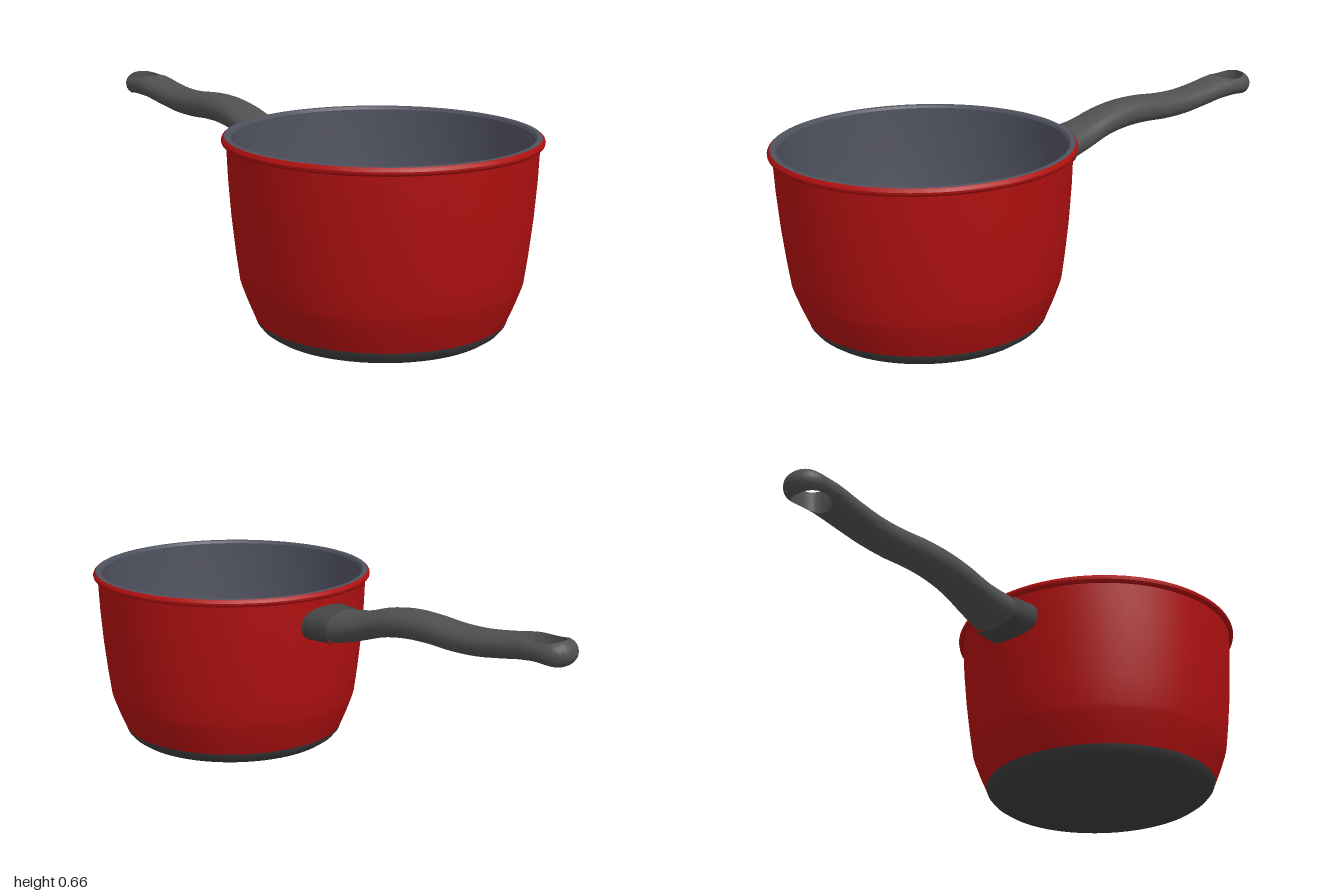
import * as THREE from 'three';
import { toCreasedNormals } from 'three/addons/utils/BufferGeometryUtils.js';

const POT_Z = 0.485;          // pot axis
const HANDLE_ANGLE = 0.258;   // handle swings towards -x

const mat = (color) => new THREE.MeshStandardMaterial({ color });

function part(name, geometry, material, crease = 0.5) {
  const mesh = new THREE.Mesh(toCreasedNormals(geometry, crease), material);
  mesh.name = name;
  return mesh;
}

function lathe(name, profile, material, crease) {
  const points = profile.map(([r, y]) => new THREE.Vector2(r, y));
  return part(name, new THREE.LatheGeometry(points, 72), material, crease);
}

// Rounded bar along -z made of two mirrored halves.
// section(t) gives centre height cy, half height b, half width w, and half
// width h of a slot through the bar; p < 1 makes the section boxier.
function loft(rows, section, p, along = (t) => t, n = 16) {
  const pos = [];
  for (const side of [1, -1]) {
    const rings = rows.map((t) => {
      const { cy, b, w, h } = section(t);
      const a = h > 0 ? Math.asin(Math.min(1, (h / w) ** (1 / p))) : 0;
      const ring = [];
      for (let j = 0; j <= n; j++) {
        const phi = a + (Math.PI - 2 * a) * j / n;
        const c = Math.cos(phi);
        const u = w * Math.max(0, Math.sin(phi)) ** p;
        const v = b * Math.sign(c) * Math.abs(c) ** p;
        ring.push([side * u, cy + v, -along(t, u)]);
      }
      return { ring, open: h > 0 };
    });
    for (let i = 0; i < rings.length - 1; i++) {
      const A = rings[i], B = rings[i + 1];
      // the extra column is the inner wall of the slot
      const columns = A.open || B.open ? n + 1 : n;
      for (let j = 0; j < columns; j++) {
        const k = (j + 1) % (n + 1);
        const [q, r, s, t] = [A.ring[j], A.ring[k], B.ring[k], B.ring[j]];
        const tris = side > 0 ? [q, r, s, q, s, t] : [q, s, r, q, t, s];
        for (const v of tris) pos.push(...v);
      }
    }
  }
  const geo = new THREE.BufferGeometry();
  geo.setAttribute('position', new THREE.Float32BufferAttribute(pos, 3));
  return geo;
}

function createPot() {
  const pot = new THREE.Group();
  pot.name = 'pot';
  const red = mat(0xb01010), lining = mat(0x50525f), baseGrey = mat(0x3c3c3c);

  pot.add(lathe('base',
    [[0, 0.003], [0.345, 0.003], [0.37, 0.008], [0.392, 0.023], [0.406, 0.04], [0.41, 0.052]], baseGrey));
  pot.add(lathe('outerWall',
    [[0.41, 0.052], [0.434, 0.11], [0.454, 0.165], [0.458, 0.18], [0.47, 0.27],
      [0.482, 0.38], [0.491, 0.5], [0.496, 0.617]], red));
  pot.add(lathe('rim',
    [[0.495, 0.616], [0.505, 0.617], [0.511, 0.624], [0.512, 0.631], [0.509, 0.638], [0.503, 0.643]], red));
  pot.add(lathe('lining',
    [[0.503, 0.643], [0.495, 0.645], [0.486, 0.643], [0.48, 0.634], [0.477, 0.5], [0.468, 0.38],
      [0.456, 0.27], [0.442, 0.175], [0.42, 0.11], [0.395, 0.052], [0.385, 0.045], [0, 0.045]], lining));
  return pot;
}

function createHandle() {
  const handle = new THREE.Group();
  handle.name = 'handle';

  // collar whose inner end follows the curve of the pot wall
  const collarSection = (t) => {
    const k = (t - 0.488) / (0.585 - 0.488);
    return { cy: 0.526, b: 0.061 - 0.002 * k, w: 0.112 - 0.012 * k, h: 0 };
  };
  const collarEnd = 0.585;
  const wrap = (t, u) => {
    const k = (collarEnd - t) / (collarEnd - 0.488);
    return t + k * (Math.sqrt(0.488 ** 2 - u * u) - 0.488);
  };
  handle.add(part('collar', loft([0.488, 0.52, 0.555, collarEnd], collarSection, 0.75, wrap), mat(0x444444)));

  // grip: centre height, half height, half width, every 0.1 along the axis
  const stations = [
    [0.527, 0.058, 0.098], [0.548, 0.051, 0.083], [0.578, 0.050, 0.074], [0.593, 0.050, 0.069],
    [0.594, 0.049, 0.066], [0.587, 0.047, 0.066], [0.588, 0.045, 0.066], [0.600, 0.043, 0.068],
    [0.615, 0.043, 0.072], [0.616, 0.046, 0.074],
  ];
  const curve = new THREE.CatmullRomCurve3(
    stations.map((s) => new THREE.Vector3(...s)), false, 'catmullrom', 0.5);
  const start = 0.58, tip = 1.535, hole0 = 1.375, hole1 = 1.502;
  const round = (t, from) => (t <= from ? 1 : Math.sqrt(Math.max(0, 1 - ((t - from) / (tip - from)) ** 2)));
  const gripSection = (t) => {
    const s = curve.getPoint(Math.min(1, (t - start) / 0.9));
    const x = Math.abs((2 * t - hole0 - hole1) / (hole1 - hole0));
    const h = x < 0.9999 ? 0.056 * (1 - x ** 2.5) ** 0.4 : 0;
    return { cy: s.x, b: s.y * round(t, 1.48), w: s.z * round(t, 1.46), h };
  };
  const rows = [];
  for (let i = 0; i < 32; i++) rows.push(start + (hole0 - start) * i / 32);
  for (let i = 0; i < 20; i++) rows.push(hole0 + (hole1 - hole0) * (1 - Math.cos(Math.PI * i / 20)) / 2);
  for (let i = 0; i <= 10; i++) rows.push(hole1 + (tip - hole1) * Math.sin(Math.PI / 2 * i / 10));
  handle.add(part('grip', loft(rows, gripSection, 0.92), mat(0x505050), 0.7));

  handle.rotation.y = HANDLE_ANGLE;
  return handle;
}

export function createModel() {
  const model = new THREE.Group();
  model.name = 'saucepan';
  model.add(createPot(), createHandle());
  for (const child of model.children) child.position.z = POT_Z;
  return model;
}
